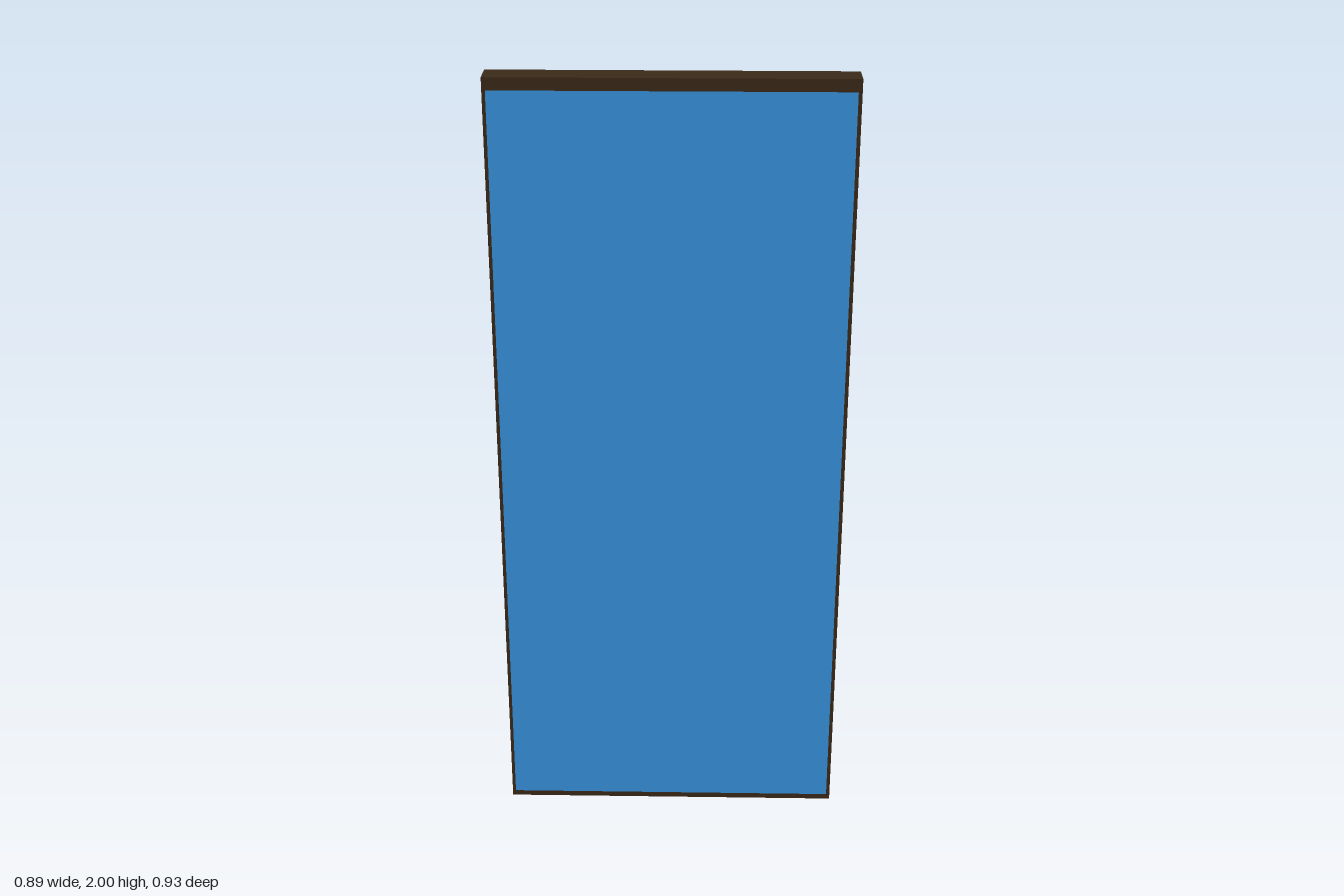
import * as THREE from 'three';

const wood = new THREE.MeshStandardMaterial({ color: 0x3a2918 });
const blue = new THREE.MeshStandardMaterial({ color: 0x3893e0, side: THREE.DoubleSide });

// Extrudes a side profile of [z, y] points across x, centred on x = 0
function sideProfile(name, points, width) {
  const shape = new THREE.Shape(points.map(([z, y]) => new THREE.Vector2(z, y)));
  const geometry = new THREE.ExtrudeGeometry(shape, { depth: width, bevelEnabled: false });
  geometry.translate(0, 0, -width / 2).rotateY(-Math.PI / 2);
  const mesh = new THREE.Mesh(geometry, wood);
  mesh.name = name;
  return mesh;
}

export function createModel() {
  const model = new THREE.Group();
  model.name = 'leaningDisplayStand';
  const width = 0.886;

  // Leaning panel with a chamfered rear top edge
  model.add(sideProfile('backPanel', [
    [0.449, 0], [0.28, 2], [0.213, 2], [0.202, 1.992], [0.196, 1.965], [0.36, 0.115], [0.37, 0],
  ], width));

  // Flat foot behind the panel
  model.add(sideProfile('base', [[0.37, 0], [0.36, 0.115], [-0.466, 0.115], [-0.466, 0]], width));

  // Pair of tapered braces from the foot to the panel
  for (const side of [-1, 1]) {
    const brace = sideProfile(side > 0 ? 'leftBrace' : 'rightBrace',
      [[-0.12, 0.115], [0.242, 1.445], [-0.218, 0.115]], 0.13);
    brace.position.x = side * 0.244;
    model.add(brace);
  }

  // Thin blue screen floating just in front of the panel
  const bottom = new THREE.Vector2(0.465, 0.03);
  const top = new THREE.Vector2(0.301, 1.975);
  const screen = new THREE.Mesh(new THREE.PlaneGeometry(0.864, bottom.distanceTo(top)), blue);
  screen.name = 'screen';
  screen.position.set(0, (bottom.y + top.y) / 2, (bottom.x + top.x) / 2);
  screen.rotation.x = -Math.atan2(bottom.x - top.x, top.y - bottom.y);
  model.add(screen);

  return model;
}
